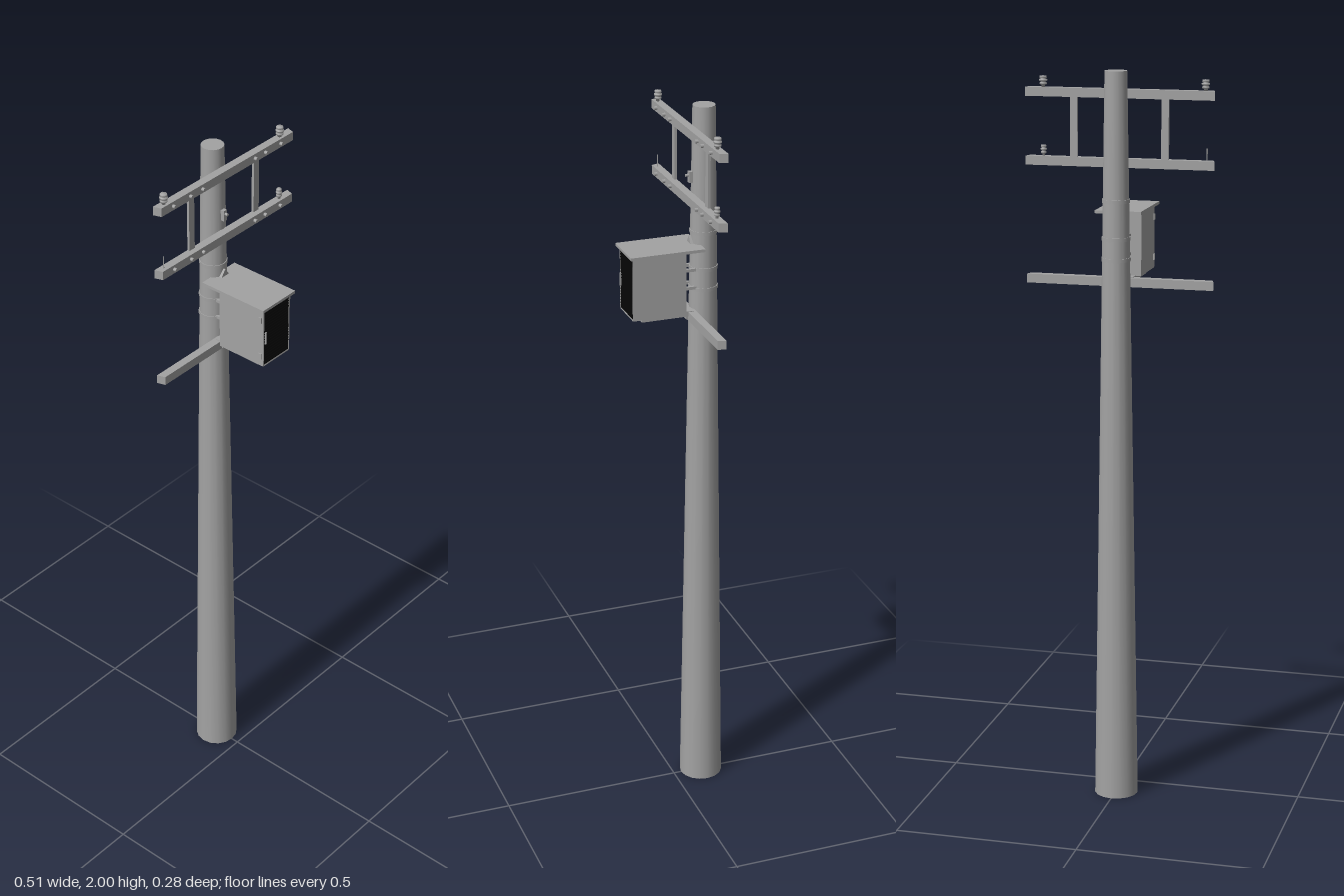
import * as THREE from 'three';

const POLE_Z = -0.082;
const ARM_Z = -0.039;
const poleRadius = (y) => 0.06 - 0.015 * y;

export function createModel() {
  const model = new THREE.Group();
  model.name = 'utilityPole';
  const grey = new THREE.MeshStandardMaterial({ color: 0xa3a3a3 });
  grey.name = 'weathered grey';
  const black = new THREE.MeshStandardMaterial({ color: 0x050505 });
  black.name = 'grille black';

  const add = (name, geometry, x, y, z, parent = model, material = grey) => {
    const mesh = new THREE.Mesh(geometry, material);
    mesh.name = name;
    mesh.position.set(x, y, z);
    parent.add(mesh);
    return mesh;
  };
  const box = (name, w, h, d, x, y, z, parent, material) =>
    add(name, new THREE.BoxGeometry(w, h, d), x, y, z, parent, material);
  const rod = (name, r, length, x, y, z, parent) => {
    const mesh = add(name, new THREE.CylinderGeometry(r, r, length, 8), x, y, z, parent);
    mesh.rotation.x = Math.PI / 2;
    return mesh;
  };

  // Tapered pole and its clamp bands
  add('pole', new THREE.CylinderGeometry(0.03, 0.06, 2, 16), 0, 1, POLE_Z);
  for (const y of [1.66, 1.56, 1.505]) {
    const r = poleRadius(y) + 0.002;
    add('clampBand', new THREE.CylinderGeometry(r, r, 0.01, 16), 0, y, POLE_Z);
  }

  // Crossarms with ends cut at a slant, the narrower face forward
  const armShape = new THREE.Shape([
    new THREE.Vector2(-0.257, -0.011), new THREE.Vector2(0.257, -0.011),
    new THREE.Vector2(0.25, 0.011), new THREE.Vector2(-0.25, 0.011),
  ]);
  const armGeometry = new THREE.ExtrudeGeometry(armShape, { depth: 0.024, bevelEnabled: false });
  armGeometry.translate(0, 0, -0.012);
  armGeometry.rotateX(Math.PI / 2);
  for (const y of [1.937, 1.755, 1.437]) {
    const arm = new THREE.Group();
    arm.name = 'crossarm';
    model.add(arm);
    add('beam', armGeometry, 0, y, ARM_Z, arm);
    if (y > 1.5) {
      for (const x of [-0.208, -0.145, -0.1, 0.1, 0.14, 0.2]) rod('bolt', 0.005, 0.009, x, y, -0.024, arm);
    } else {
      box('mountPlate', 0.06, 0.02, 0.005, 0, y, -0.026, arm);
    }
  }

  // Flat uprights joining the two upper arms
  for (const x of [-0.124, 0.124]) box('upright', 0.02, 0.17, 0.007, x, 1.846, -0.0465);

  // Ribbed insulators
  const profile = [[0, 0], [0.005, 0], [0.005, 0.006], [0.01, 0.008], [0.01, 0.012], [0.006, 0.014],
    [0.011, 0.017], [0.011, 0.021], [0.006, 0.023], [0.01, 0.025], [0.009, 0.03], [0, 0.031],
  ].map(([r, h]) => new THREE.Vector2(r, h));
  const insulatorGeometry = new THREE.LatheGeometry(profile, 10);
  const insulator = (x, y, s) => add('insulator', insulatorGeometry, x, y, ARM_Z).scale.set(s, 1, s);
  insulator(-0.23, 1.948, 1);
  insulator(0.21, 1.948, 1);
  insulator(0.21, 1.766, 0.75);
  add('insulatorPin', new THREE.CylinderGeometry(0.0015, 0.0015, 0.035, 8), -0.235, 1.782, ARM_Z);

  // Small fitting on the pole face
  box('poleHook', 0.012, 0.03, 0.012, 0, 1.81, -0.046);
  rod('poleHookBolt', 0.004, 0.02, 0, 1.815, -0.042);

  // Equipment cabinet
  const cabinet = new THREE.Group();
  cabinet.name = 'cabinet';
  model.add(cabinet);
  box('cabinetBody', 0.104, 0.172, 0.143, 0, 1.536, 0.056, cabinet);
  box('cabinetLid', 0.126, 0.008, 0.205, 0, 1.626, 0.038, cabinet);
  const gable = new THREE.Shape([
    new THREE.Vector2(-0.014, 0), new THREE.Vector2(0.014, 0), new THREE.Vector2(0, 0.02),
  ]);
  add('lidBracket', new THREE.ExtrudeGeometry(gable, { depth: 0.01, bevelEnabled: false }), 0, 1.63, -0.051, cabinet);

  // Front grille: grey frame around a black panel with shallow slats
  for (const s of [-1, 1]) {
    box('grilleSide', 0.003, 0.17, 0.005, s * 0.0505, 1.536, 0.13, cabinet);
    box('grilleRail', 0.1, 0.003, 0.005, 0, 1.536 + s * 0.0845, 0.13, cabinet);
  }
  box('grillePanel', 0.098, 0.166, 0.004, 0, 1.536, 0.129, cabinet, black);
  for (let i = 0; i < 20; i++) box('grilleSlat', 0.096, 0.003, 0.002, 0, 1.46 + i * 0.008, 0.1315, cabinet, black);

  // Door hardware
  box('doorHandle', 0.005, 0.035, 0.004, -0.044, 1.535, 0.134, cabinet);
  for (const y of [1.48, 1.59]) box('hinge', 0.004, 0.016, 0.01, -0.053, y, 0.122, cabinet);

  // Mounts between cabinet and pole
  for (const y of [1.56, 1.51]) {
    for (const x of [-0.02, 0.02]) box('standoff', 0.008, 0.008, 0.045, x, y, -0.034, cabinet);
  }
  for (const x of [-0.03, 0.03]) box('supportRail', 0.012, 0.014, 0.145, x, 1.444, 0.03, cabinet);
  return model;
}
